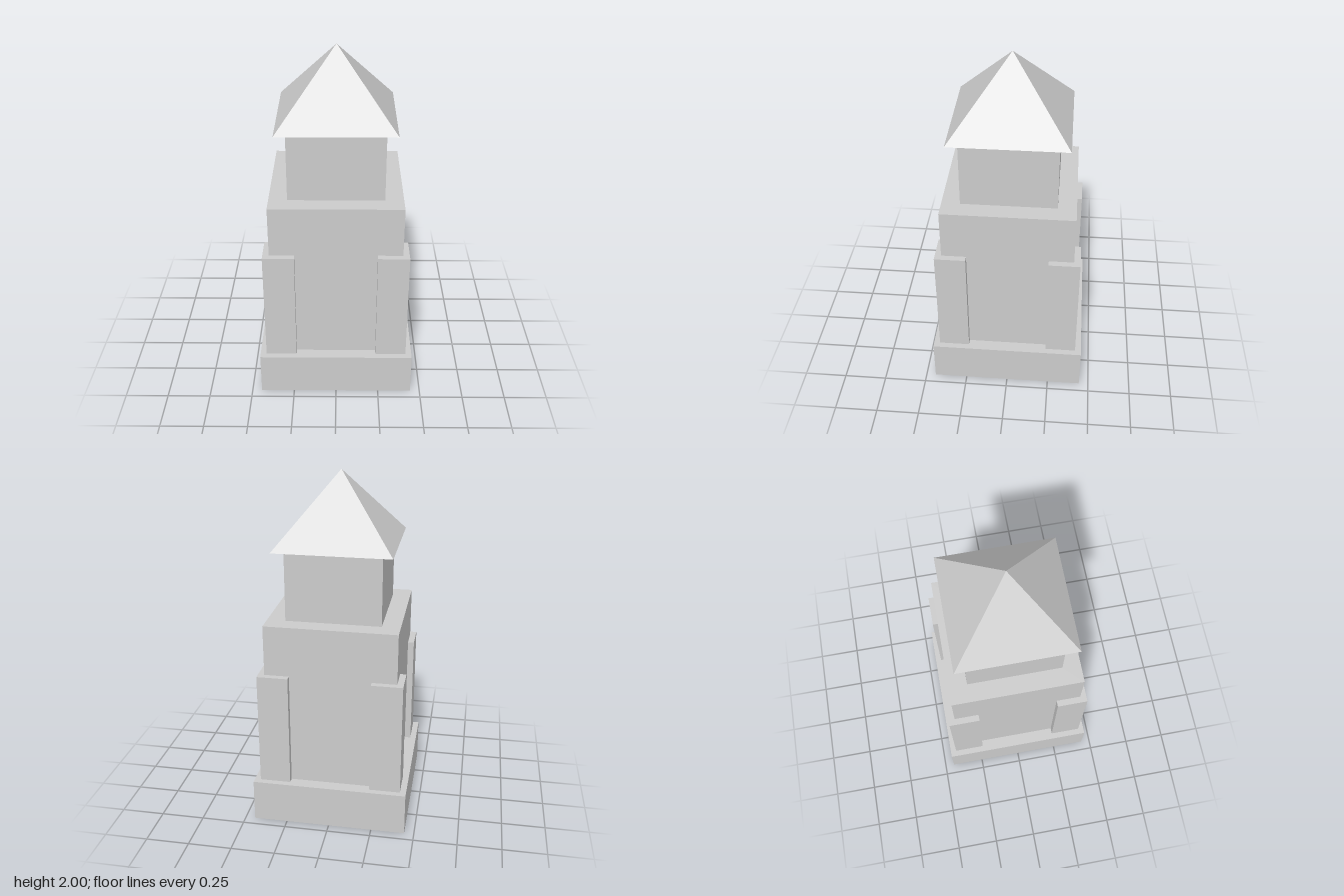
import * as THREE from 'three';

export function createModel() {
  const group = new THREE.Group();
  const material = new THREE.MeshStandardMaterial({ color: 0xcccccc, flatShading: true });

  const add = (name, geometry, x, y, z) => {
    const mesh = new THREE.Mesh(geometry, material);
    mesh.name = name;
    mesh.position.set(x, y, z);
    group.add(mesh);
  };

  // Square block standing between two heights
  const block = (name, width, bottom, top, x = 0, z = 0) =>
    add(name, new THREE.BoxGeometry(width, top - bottom, width), x, (bottom + top) / 2, z);

  // Stacked tiers
  block('base', 0.888, 0, 0.25);
  block('mainTower', 0.746, 0.25, 1.203);
  block('upperTower', 0.538, 1.203, 1.604);

  // Corner buttresses, wrapping the edges of the main tower
  const inner = 0.232, outer = 0.409;
  for (const sx of [-1, 1]) {
    for (const sz of [-1, 1]) {
      const name = `${sz > 0 ? 'front' : 'back'}${sx > 0 ? 'Left' : 'Right'}Buttress`;
      const centre = (inner + outer) / 2;
      block(name, outer - inner, 0.25, 0.912, sx * centre, sz * centre);
    }
  }

  // Pyramid roof with overhanging eaves
  const roofBottom = 1.604, roofHeight = 2 - roofBottom;
  const roof = new THREE.ConeGeometry(0.329 * Math.SQRT2, roofHeight, 4).rotateY(Math.PI / 4).toNonIndexed();
  roof.computeVertexNormals();
  add('roof', roof, 0, roofBottom + roofHeight / 2, 0);

  return group;
}
